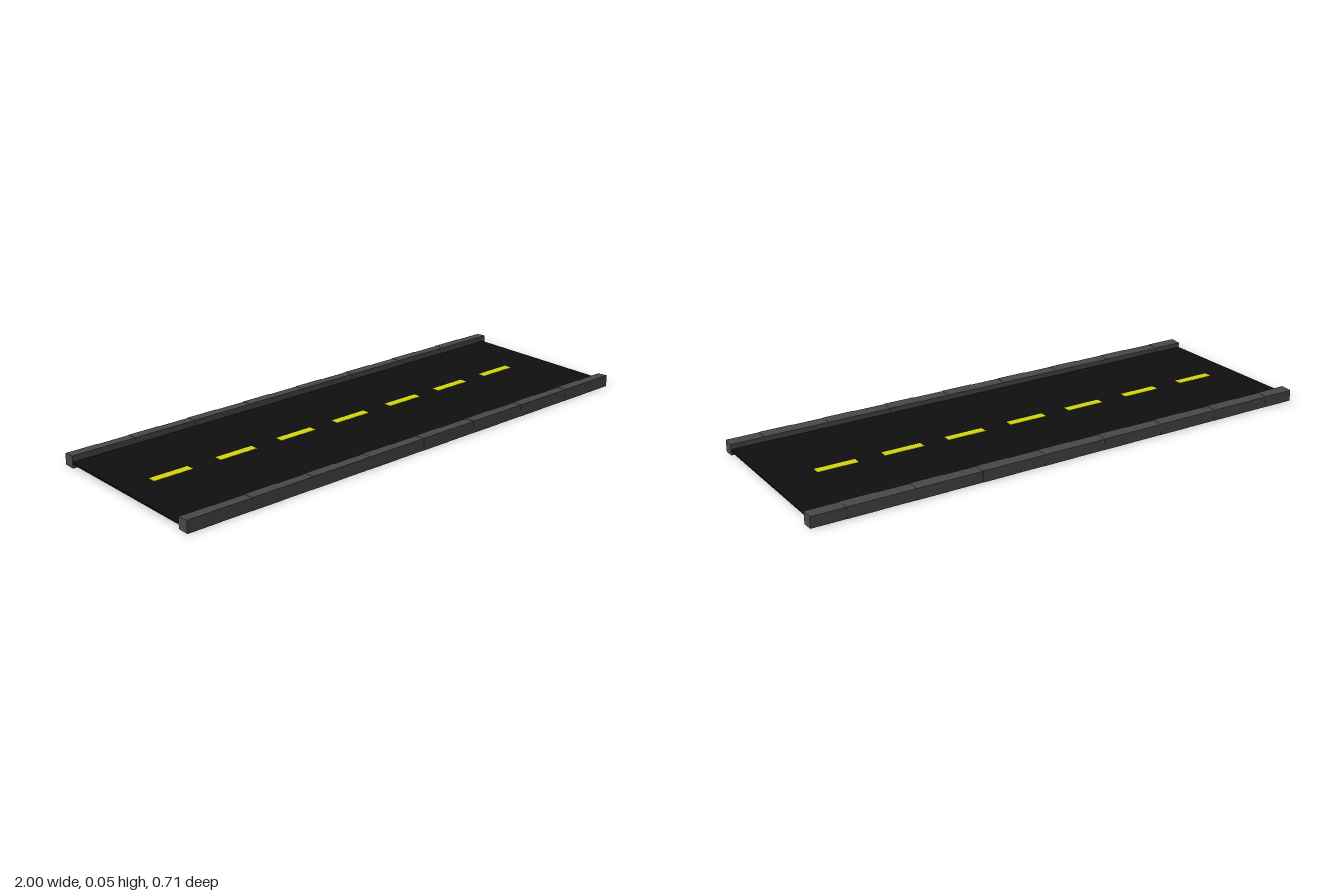
import * as THREE from 'three';

const mat = (color) => new THREE.MeshStandardMaterial({ color, flatShading: true });

export function createModel() {
  const group = new THREE.Group();
  const asphalt = mat(0x0f0f0f), stone = mat(0x484848), paint = mat(0xd4d40c);

  const box = (name, material, x0, x1, y0, y1, z0, z1, parent = group) => {
    const mesh = new THREE.Mesh(new THREE.BoxGeometry(x1 - x0, y1 - y0, z1 - z0), material);
    mesh.position.set((x0 + x1) / 2, (y0 + y1) / 2, (z0 + z1) / 2);
    mesh.name = name;
    parent.add(mesh);
    return mesh;
  };

  // Thin road slab
  box('roadSurface', asphalt, -1, 0.987, 0.016, 0.0235, -0.314, 0.314);

  // Dashed centre line
  const centreLine = new THREE.Group();
  centreLine.name = 'centreLine';
  group.add(centreLine);
  for (const x of [-0.807, -0.54, -0.278, -0.023, 0.237, 0.488, 0.742]) {
    box('lineDash', paint, x - 0.077, x + 0.077, 0.02, 0.0245, -0.027, 0.004, centreLine);
  }

  // Kerbs: rows of blocks whose tops fall slightly towards the back
  const kerb = (name, z0, z1, xEnd) => {
    const row = new THREE.Group();
    row.name = name;
    group.add(row);
    const count = 16, width = (xEnd + 1) / count;
    for (let i = 0; i < count; i++) {
      const x = -1 + i * width;
      const drop = (i % 2) * 0.001;
      const block = box('kerbBlock', stone, x, x + width, 0, 0.046 - drop, z0 + drop, z1 - drop, row);
      const p = block.geometry.attributes.position;
      for (let v = 0; v < p.count; v++) {
        if (p.getY(v) > 0 && p.getZ(v) < 0) p.setY(v, p.getY(v) - 0.003);
        if (p.getY(v) < 0 && p.getZ(v) < 0) p.setY(v, p.getY(v) + 0.001);
      }
      block.geometry.computeVertexNormals();
    }
  };
  kerb('frontKerb', 0.312, 0.356, 0.987);
  kerb('backKerb', -0.355, -0.311, 1);

  return group;
}
